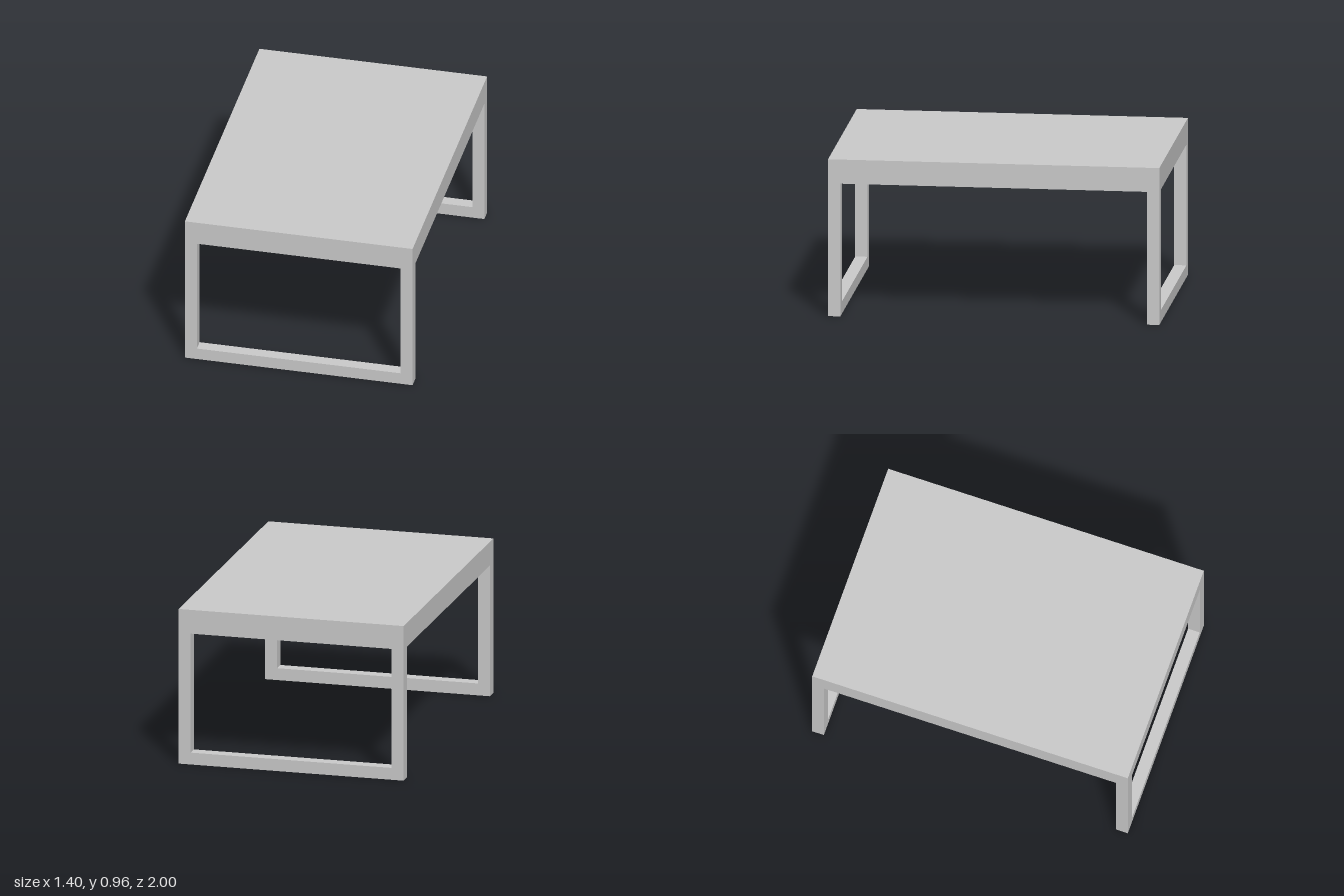
import * as THREE from 'three';

const W = 1.4, H = 0.963, D = 2, T = 0.074; // overall size and bar thickness
const material = new THREE.MeshStandardMaterial({ color: 0xcccccc });

function add(group, name, geometry, x, y, z) {
  const mesh = new THREE.Mesh(geometry, material);
  mesh.name = name;
  mesh.position.set(x, y, z);
  group.add(mesh);
}

// Counter-clockwise or clockwise rectangle outline
function rectangle(path, x0, y0, x1, y1) {
  path.moveTo(x0, y0);
  path.lineTo(x1, y0);
  path.lineTo(x1, y1);
  path.lineTo(x0, y1);
  path.closePath();
  return path;
}

export function createModel() {
  const table = new THREE.Group();
  table.name = 'table';

  // Solid table top
  add(table, 'tableTop', new THREE.BoxGeometry(W, T, D), 0, H - T / 2, 0);

  // Closed rectangular leg frame at each end
  const outline = rectangle(new THREE.Shape(), -W / 2, 0, W / 2, H - T);
  outline.holes.push(rectangle(new THREE.Path(), -W / 2 + T, T, W / 2 - T, H - 2 * T));
  const frame = new THREE.ExtrudeGeometry(outline, { depth: T, bevelEnabled: false });
  add(table, 'frontLegFrame', frame, 0, 0, D / 2 - T);
  add(table, 'backLegFrame', frame, 0, 0, -D / 2);

  // Side rails under the top, joining the two frames
  const rail = new THREE.BoxGeometry(T, T, D - 2 * T);
  for (const [name, side] of [['leftRail', 1], ['rightRail', -1]]) {
    add(table, name, rail, side * (W - T) / 2, H - 1.5 * T, 0);
  }

  return table;
}
